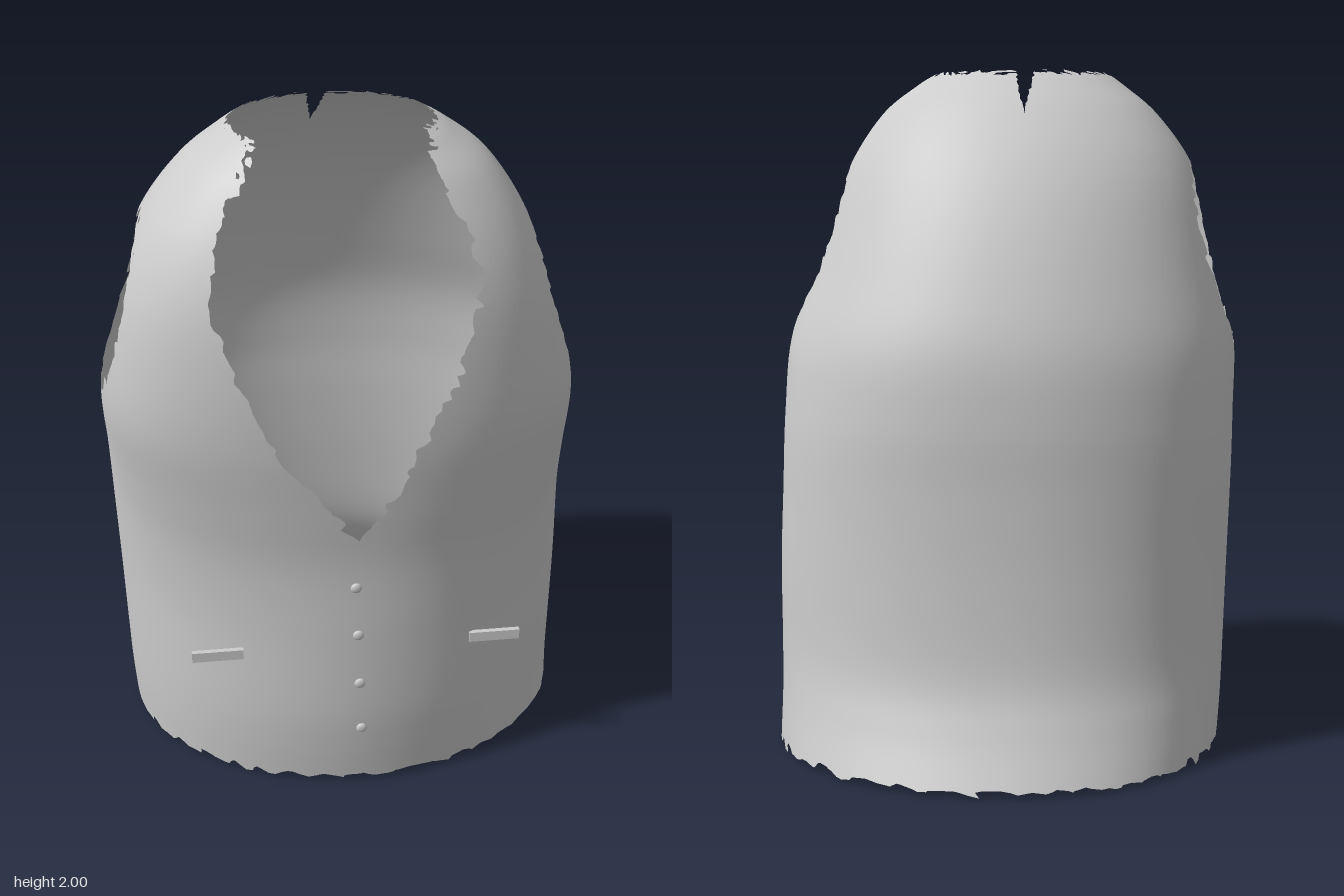
import * as THREE from 'three';
import { mergeVertices } from 'three/addons/utils/BufferGeometryUtils.js';

// Body sections: height, -x side, +x side, front z, back z
const SECTIONS = [
  [0, -0.65, 0.685, 0.54, -0.62], [0.15, -0.66, 0.68, 0.56, -0.54], [0.3, -0.665, 0.68, 0.573, -0.485],
  [0.55, -0.672, 0.68, 0.578, -0.46], [0.8, -0.68, 0.67, 0.58, -0.45], [1.0, -0.685, 0.665, 0.6, -0.447],
  [1.2, -0.69, 0.655, 0.62, -0.425], [1.4, -0.66, 0.6, 0.625, -0.36], [1.6, -0.612, 0.535, 0.61, -0.275],
  [1.75, -0.548, 0.47, 0.57, -0.19], [1.88, -0.45, 0.38, 0.51, -0.09], [1.96, -0.355, 0.28, 0.455, -0.01],
  [2.0, -0.3, 0.215, 0.42, 0.04],
];
// Neckline: height, -x edge, +x edge
const NECK = [
  [0.6, 0.17, -0.19], [0.9, -0.01, -0.01], [1.0, -0.08, 0.06], [1.2, -0.22, 0.15], [1.4, -0.33, 0.25],
  [1.6, -0.385, 0.3], [1.7, -0.385, 0.305], [1.8, -0.36, 0.27], [1.9, -0.305, 0.21], [2.0, -0.25, 0.19],
];
const COLS = 112, ROWS = 86;

const noise = (i, j) => {
  const s = Math.sin(i * 127.1 + j * 311.7) * 43758.5453;
  return (s - Math.floor(s)) * 2 - 1;
};

function neckEdges(y) {
  if (y <= NECK[0][0]) return [0.17, -0.19];
  let k = 0;
  while (k < NECK.length - 2 && y > NECK[k + 1][0]) k++;
  const a = NECK[k], b = NECK[k + 1], t = (y - a[0]) / (b[0] - a[0]);
  return [a[1] + (b[1] - a[1]) * t, a[2] + (b[2] - a[2]) * t];
}

// Cut rules: cloth is kept where each is positive; n is the fraying of the edge
const CUTS = [
  ([x, y, z, n]) => { // V-neck
    const [l, r] = neckEdges(y);
    return Math.max((l - x) * 0.9, (x - r) * 0.9, 0.2 - z) + n * 0.017;
  },
  ([x, y, z, n]) => { // armholes
    const zc = 0.165 + (y - 1.47) * 0.15;
    return (Math.hypot((z - zc) / 0.195, (y - 1.47) / 0.275) - 1) * 0.2 + n * 0.018;
  },
  ([x, y, z, n]) => y - 0.018 + n * 0.016, // hem
  ([x, y, z, n]) => Math.abs(x + 0.06) - (y - 1.86) * 0.2 + n * 0.004, // tear at the nape
  ([x, y, z, n]) => 1.992 - y + n * 0.01, // neck rim
];

// Trim a polygon by one cut rule
function clip(poly, cut) {
  const out = [];
  poly.forEach((a, i) => {
    const b = poly[(i + 1) % poly.length], fa = cut(a), fb = cut(b);
    if (fa >= 0) out.push(a);
    if ((fa >= 0) !== (fb >= 0)) {
      const t = fa / (fa - fb);
      out.push(a.map((v, k) => v + (b[k] - v) * t));
    }
  });
  return out;
}

function bodyGeometry() {
  const sides = new THREE.CatmullRomCurve3(SECTIONS.map(s => new THREE.Vector3(s[1], s[0], s[2])), false, 'catmullrom', 0.5);
  const depth = new THREE.CatmullRomCurve3(SECTIONS.map(s => new THREE.Vector3(s[3], s[0], s[4])), false, 'catmullrom', 0.5);
  const grid = [];
  for (let i = 0; i <= ROWS; i++) {
    const s = sides.getPoint(i / ROWS), d = depth.getPoint(i / ROWS), y = s.y;
    // Round at the waist, squarer and wider forward at the chest
    const zc = 0.02 + 0.2 * THREE.MathUtils.smoothstep(y, 0.8, 1.6);
    const frontPower = 1.95 + 0.55 * THREE.MathUtils.smoothstep(y, 0.5, 1.3);
    const row = [];
    for (let j = 0; j < COLS; j++) {
      const a = j / COLS * Math.PI * 2, c = Math.cos(a), sn = Math.sin(a);
      const e = 2 / (sn > 0 ? frontPower : 2.15);
      const x = (s.x + s.z) / 2 + Math.sign(c) * Math.pow(Math.abs(c), e) * (s.z - s.x) / 2;
      const z = zc + Math.pow(Math.abs(sn), e) * ((sn > 0 ? d.x : d.z) - zc);
      row.push([x, y, z, noise(i, j)]);
    }
    grid.push(row);
  }
  const pos = [];
  for (let i = 0; i < ROWS; i++) {
    for (let j = 0; j < COLS; j++) {
      const k = (j + 1) % COLS;
      const a = grid[i][j], b = grid[i + 1][j], c = grid[i + 1][k], d = grid[i][k];
      for (const tri of [[a, b, c], [a, c, d]]) {
        const poly = CUTS.reduce((p, cut) => (p.length ? clip(p, cut) : p), tri);
        for (let m = 1; m + 1 < poly.length; m++) {
          for (const v of [poly[0], poly[m], poly[m + 1]]) pos.push(v[0], v[1], v[2]);
        }
      }
    }
  }
  let g = new THREE.BufferGeometry();
  g.setAttribute('position', new THREE.Float32BufferAttribute(pos, 3));
  g = mergeVertices(g, 1e-5);
  g.computeVertexNormals();
  return g;
}

export function createModel() {
  const model = new THREE.Group();
  model.name = 'vest';
  const cloth = new THREE.MeshStandardMaterial({ color: 0xcccccc, side: THREE.DoubleSide });
  cloth.name = 'light grey cloth';
  const add = (name, geometry, x, y, z) => {
    const mesh = new THREE.Mesh(geometry, cloth);
    mesh.name = name;
    mesh.position.set(x, y, z);
    model.add(mesh);
    return mesh;
  };

  add('body', bodyGeometry(), 0, 0, 0);

  // Buttons down the front
  const button = new THREE.SphereGeometry(0.016, 16, 10);
  [[-0.015, 0.745, 0.582], [-0.008, 0.58, 0.582], [-0.003, 0.412, 0.588], [0.003, 0.245, 0.588]].forEach(([x, y, z], i) => {
    add('button' + (i + 1), button, x, y, z).scale.z = 0.5;
  });

  // Pocket welts
  const welt = new THREE.BoxGeometry(0.148, 0.032, 0.014);
  add('rightPocket', welt, -0.405, 0.487, 0.505);
  add('leftPocket', welt, 0.403, 0.487, 0.505);
  return model;
}
